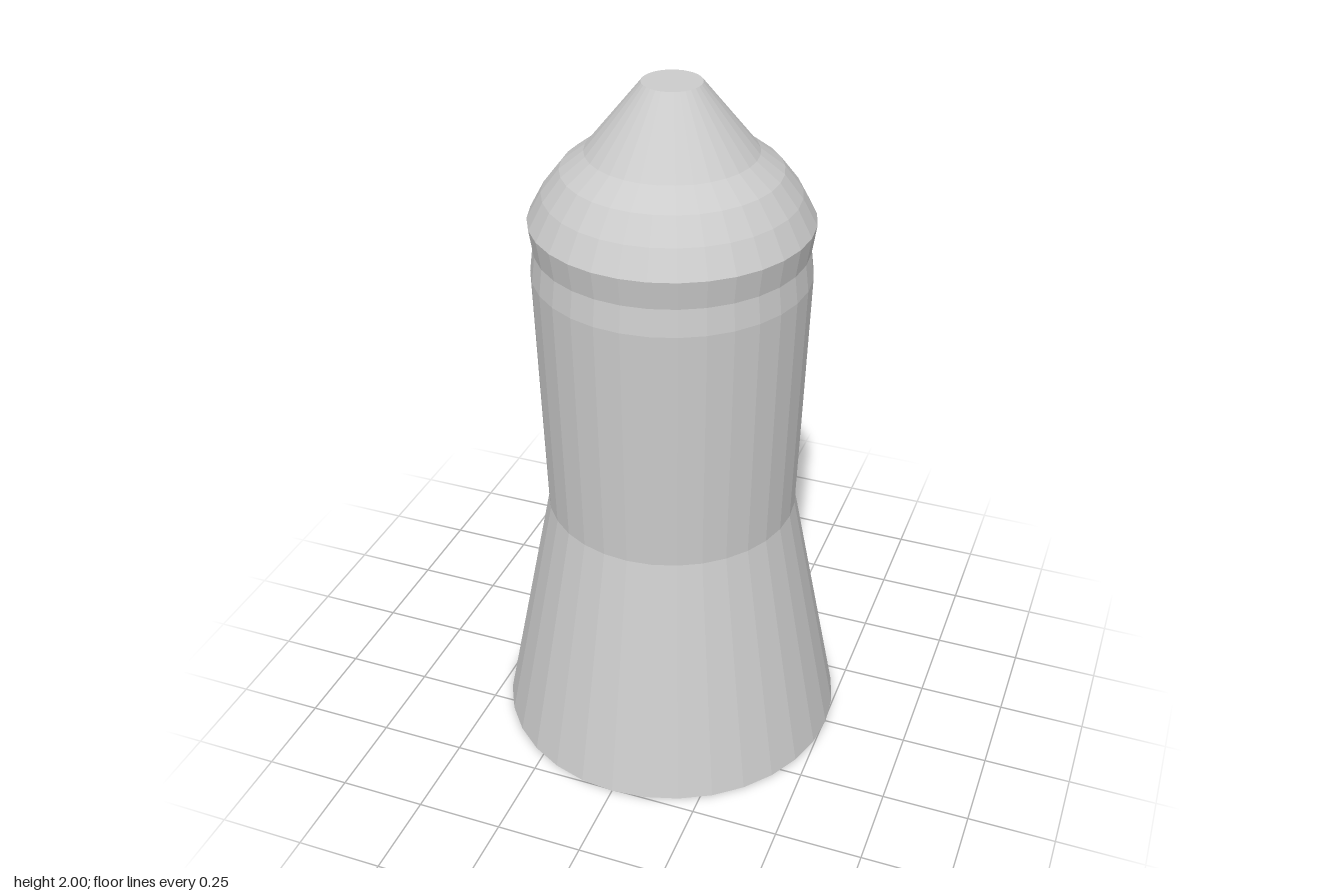
import * as THREE from 'three';

const SIDES = 32;
const material = new THREE.MeshStandardMaterial({ color: 0xcccccc, flatShading: true });

// Revolves a profile of [radius, height] points, listed from bottom to top
function turned(name, profile) {
  const points = profile.map(([r, y]) => new THREE.Vector2(r, y));
  const mesh = new THREE.Mesh(new THREE.LatheGeometry(points, SIDES), material);
  mesh.name = name;
  return mesh;
}

export function createModel() {
  const model = new THREE.Group();
  model.name = 'pellet';

  model.add(
    // Closed base and flared skirt up to the waist
    turned('skirt', [[0, 0], [0.505, 0], [0.36, 0.74]]),
    // Slightly widening body with a shallow groove under the head
    turned('body', [[0.36, 0.74], [0.382, 1.47], [0.373, 1.545], [0.385, 1.625]]),
    // Rounded shoulder
    turned('shoulder', [[0.385, 1.625], [0.345, 1.70], [0.295, 1.765], [0.23, 1.815]]),
    // Conical nose with a flat tip
    turned('nose', [[0.23, 1.815], [0.08, 2], [0, 2]]),
  );
  return model;
}
